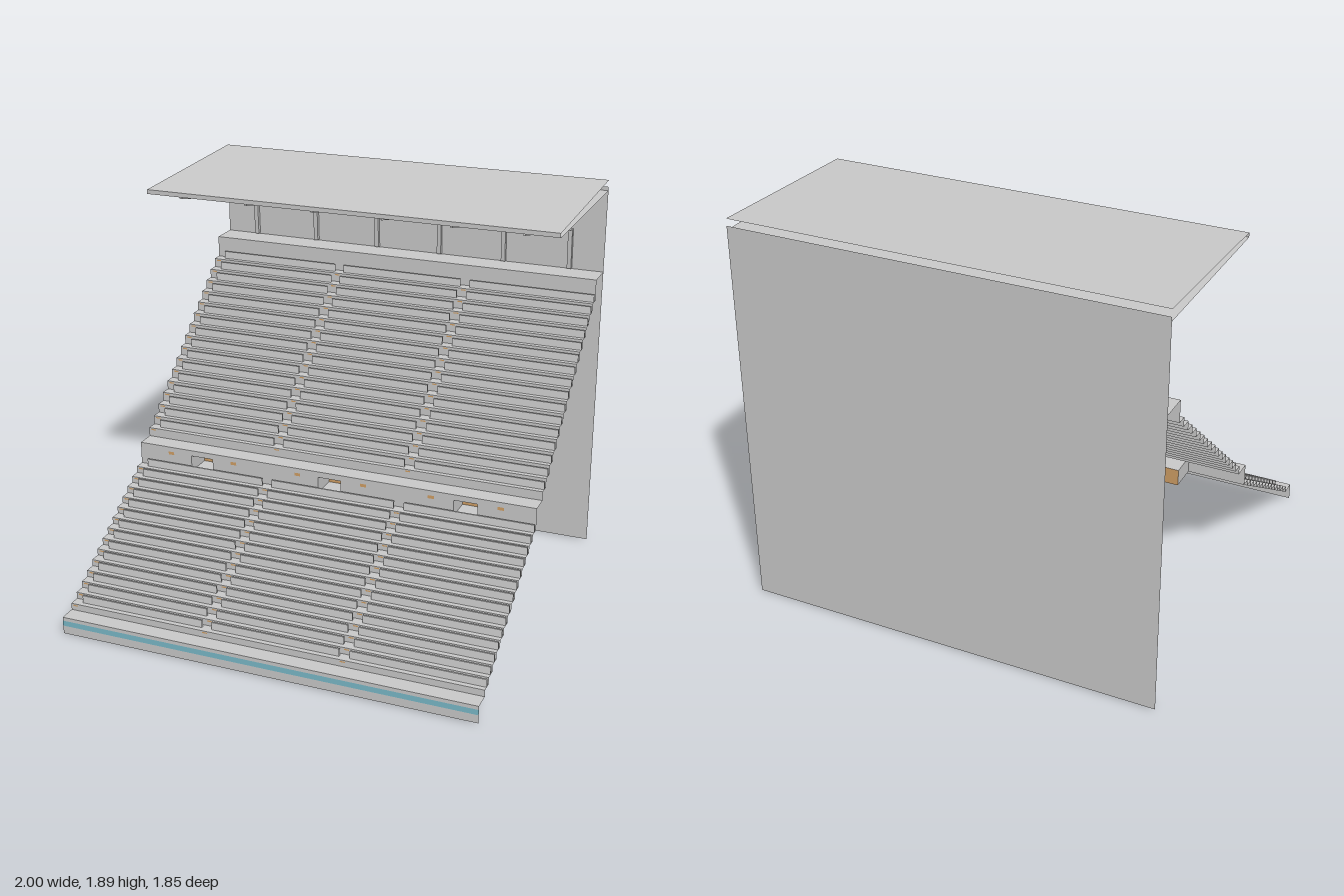
import * as THREE from 'three';
import { mergeGeometries } from 'three/addons/utils/BufferGeometryUtils.js';

const mat = (name, color) => {
  const m = new THREE.MeshStandardMaterial({ color, side: THREE.DoubleSide });
  m.name = name;
  return m;
};

// Open sheet: a profile of [z, y] points swept from x0 to x1
function sheet(points, x0, x1) {
  const pos = [];
  for (let i = 0; i < points.length - 1; i++) {
    const [z0, y0] = points[i], [z1, y1] = points[i + 1];
    pos.push(x0, y0, z0, x1, y0, z0, x1, y1, z1, x0, y0, z0, x1, y1, z1, x0, y1, z1);
  }
  const g = new THREE.BufferGeometry();
  g.setAttribute('position', new THREE.Float32BufferAttribute(pos, 3));
  g.computeVertexNormals();
  return g;
}

// Upright plate facing the front
const plate = (w, h, x, y, z) => new THREE.PlaneGeometry(w, h).translate(x, y, z);

// Square bar between two [z, y] points
function bar(a, b, w, t) {
  const dz = b[0] - a[0], dy = b[1] - a[1];
  return new THREE.BoxGeometry(w, t, Math.hypot(dz, dy))
    .rotateX(-Math.atan2(dy, dz))
    .translate(0, (a[1] + b[1]) / 2, (a[0] + b[0]) / 2);
}

export function createModel() {
  const group = new THREE.Group();
  const concrete = mat('concrete grey', 0xcccccc);
  const seatGrey = mat('seat grey', 0xd8d8d8);
  const amber = mat('amber', 0xd2a066);
  const blue = mat('stripe blue', 0x7cbccb);
  const add = (name, geo, material, parent = group) => {
    const m = new THREE.Mesh(geo, material);
    m.name = name;
    parent.add(m);
    return m;
  };

  const DEPTH = 0.0514, SEAT_H = 0.037, FRONT = 0.925, BACK = -0.925;
  const aisles = [[-1, -0.952], [-0.337, -0.289], [0.329, 0.378]];
  const blocks = [[-0.952, -0.337], [-0.289, 0.329], [0.378, 1]];
  const tiers = [
    { name: 'lower', rows: 14, z: 0.845, y: 0.083, rise: 0.0321 },
    { name: 'upper', rows: 16, z: 0.035, y: 0.64, rise: 0.0435 },
  ];

  // Stepped terraces, seat rows and aisle markers
  const steps = {};
  for (const t of tiers) {
    const profile = [], seats = [], marks = [];
    for (let i = 0; i < t.rows; i++) {
      const z = t.z - i * DEPTH, y = t.y + (i + 1) * t.rise;
      profile.push([z, y - t.rise], [z, y], [z - DEPTH, y]);
      const s = z - 0.024;
      for (const [a, b] of blocks) {
        seats.push(sheet([[s, y], [s, y + SEAT_H], [s - 0.008, y + SEAT_H], [s - 0.008, y]], a, b));
      }
      for (const [a, b] of aisles) {
        marks.push(plate(0.024, 0.006, (a + b) / 2, y - 0.008, z + 0.001));
      }
    }
    steps[t.name] = profile;
    add(t.name + 'Seats', mergeGeometries(seats), seatGrey);
    add(t.name + 'AisleMarkers', mergeGeometries(marks), amber);
  }
  const wallZ = 0.845 - 14 * DEPTH, walkY = 0.083 + 14 * 0.0321;
  add('lowerTerrace', sheet([[FRONT, 0], [FRONT, 0.083], [0.845, 0.083], ...steps.lower], -1, 1), concrete);
  const top = 0.035 - 16 * DEPTH;
  add('upperTerrace', sheet([[wallZ, 0.64], [0.035, 0.64], ...steps.upper,
    [top, 1.44], [BACK, 1.44]], -1, 1), concrete);

  // Blue stripe on the front wall
  add('frontStripe', plate(2, 0.026, 0, 0.053, FRONT + 0.001), blue);

  // Wall between tiers, with doorways
  const doorY = 0.612, doors = [-0.668, -0.003, 0.667], half = 0.057;
  const wall = new THREE.Shape();
  wall.moveTo(-1, walkY);
  for (const x of doors) {
    wall.lineTo(x - half, walkY);
    wall.lineTo(x - half, doorY);
    wall.lineTo(x + half, doorY);
    wall.lineTo(x + half, walkY);
  }
  wall.lineTo(1, walkY);
  wall.lineTo(1, 0.64);
  wall.lineTo(-1, 0.64);
  add('middleWall', new THREE.ShapeGeometry(wall).translate(0, 0, wallZ), concrete);

  // Entrance tunnels behind the doorways
  const endZ = -0.01, len = wallZ - endZ, h = doorY - walkY;
  for (const x of doors) {
    const tunnel = new THREE.Group();
    tunnel.name = 'entranceTunnel';
    group.add(tunnel);
    const sides = [-1, 1].map((s) => new THREE.PlaneGeometry(len, h)
      .rotateY(s * Math.PI / 2)
      .translate(x + s * half, walkY + h / 2, endZ + len / 2));
    add('tunnelSides', mergeGeometries(sides), concrete, tunnel);
    add('tunnelRoof', sheet([[wallZ, doorY], [endZ, doorY]], x - half, x + half), concrete, tunnel);
    add('tunnelFloor', sheet([[endZ, walkY], [wallZ, walkY]], x - half, x + half), concrete, tunnel);
    add('tunnelEnd', plate(half * 2, h, x, walkY + h / 2, endZ), amber, tunnel);
  }

  // Back wall
  add('backWall', sheet([[BACK, 1.862], [BACK, 0]], -1, 1), concrete);

  // Shallow wedge roof, open at its ends
  add('roof', sheet([[BACK, 1.843], [-0.05, 1.843], [-0.05, 1.864], [BACK, 1.895]], -1, 1), concrete);

  // Cantilever trusses with posts, and a wall lamp in line with each
  const tip = [-0.07, 1.837], heel = [-0.905, 1.643];
  const braces = [[-0.12, 1.832, -0.15, 1.816], [-0.21, 1.832, -0.27, 1.79], [-0.35, 1.832, -0.415, 1.757],
    [-0.485, 1.832, -0.555, 1.724], [-0.62, 1.832, -0.695, 1.692], [-0.76, 1.832, -0.835, 1.66]];
  const truss = mergeGeometries([
    bar(tip, [-0.9, 1.837], 0.012, 0.01),
    bar(tip, heel, 0.012, 0.012),
    ...braces.map(([a, b, c, d]) => bar([a, b], [c, d], 0.01, 0.008)),
    bar(heel, [-0.914, 1.445], 0.021, 0.02),
  ]);
  const lamps = [];
  for (let i = 0; i < 6; i++) {
    const x = (i - 2.5) / 3;
    add('roofTruss', truss, concrete).position.x = x;
    lamps.push(plate(0.03, 0.015, x, 0.609, wallZ + 0.001));
  }
  add('wallLamps', mergeGeometries(lamps), amber);

  return group;
}
